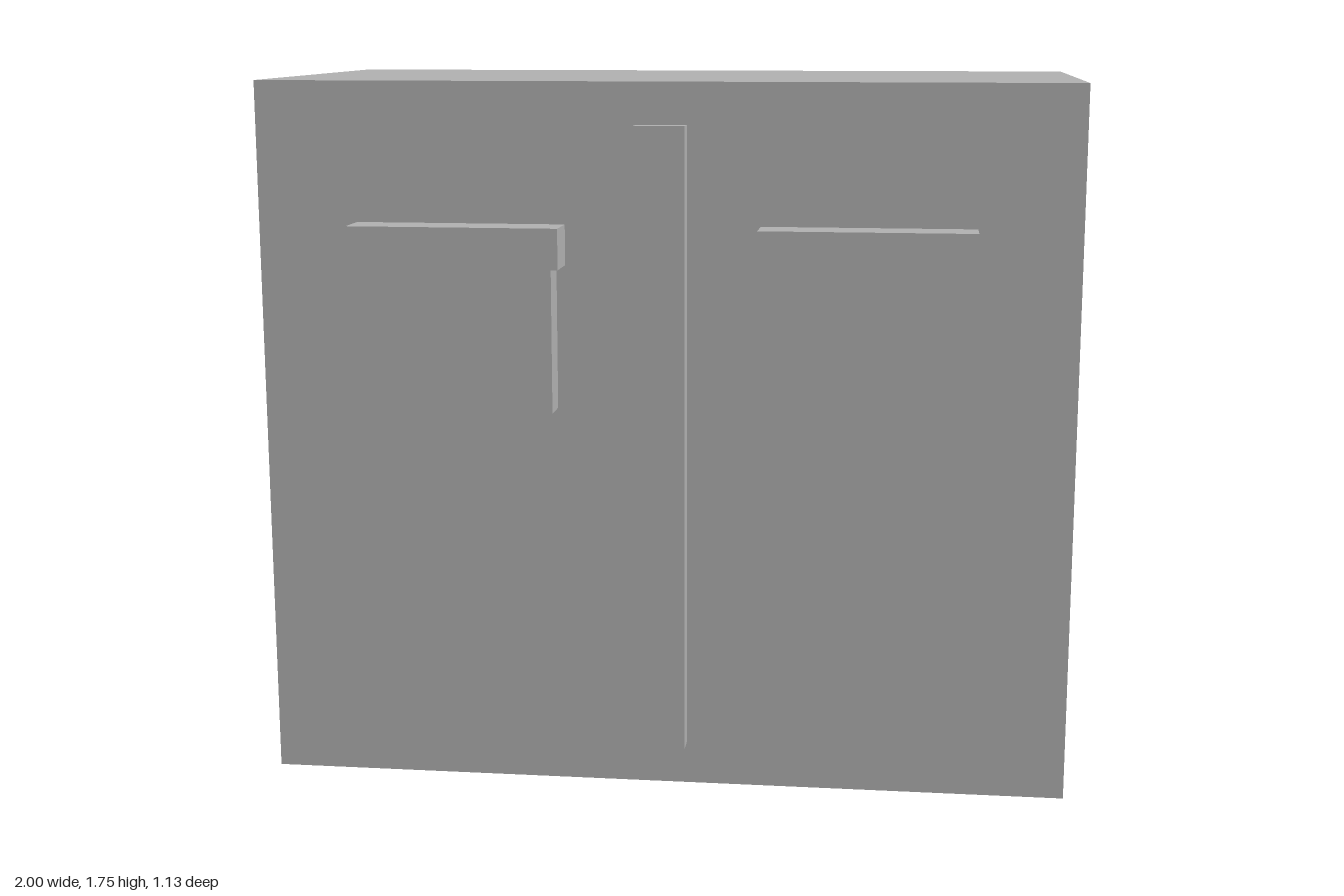
import * as THREE from 'three';

export function createModel() {
  const model = new THREE.Group();
  const grey = new THREE.MeshStandardMaterial({ color: 0xb2b2b2 });
  grey.name = 'plain grey';

  // Box given by its centre x, width, and y and z ranges
  const addBox = (parent, name, x, width, y0, y1, z0, z1) => {
    const mesh = new THREE.Mesh(new THREE.BoxGeometry(width, y1 - y0, z1 - z0), grey);
    mesh.name = name;
    mesh.position.set(x, (y0 + y1) / 2, (z0 + z1) / 2);
    parent.add(mesh);
  };

  const front = 0.463;
  addBox(model, 'body', 0, 2, 0, 1.754, -0.566, front);
  addBox(model, 'frontPlacket', -0.001, 0.123, 0.108, 1.652, front, 0.515);

  // Mirrored pair of chest pockets, each with an overhanging flap
  for (const [side, sign] of [['left', 1], ['right', -1]]) {
    const pocket = new THREE.Group();
    pocket.name = side + 'Pocket';
    pocket.position.x = sign * 0.495;
    addBox(pocket, side + 'PocketPouch', 0, 0.472, 0.96, 1.313, front, 0.54);
    addBox(pocket, side + 'PocketFlap', 0, 0.515, 1.313, 1.412, front, 0.566);
    model.add(pocket);
  }
  return model;
}
